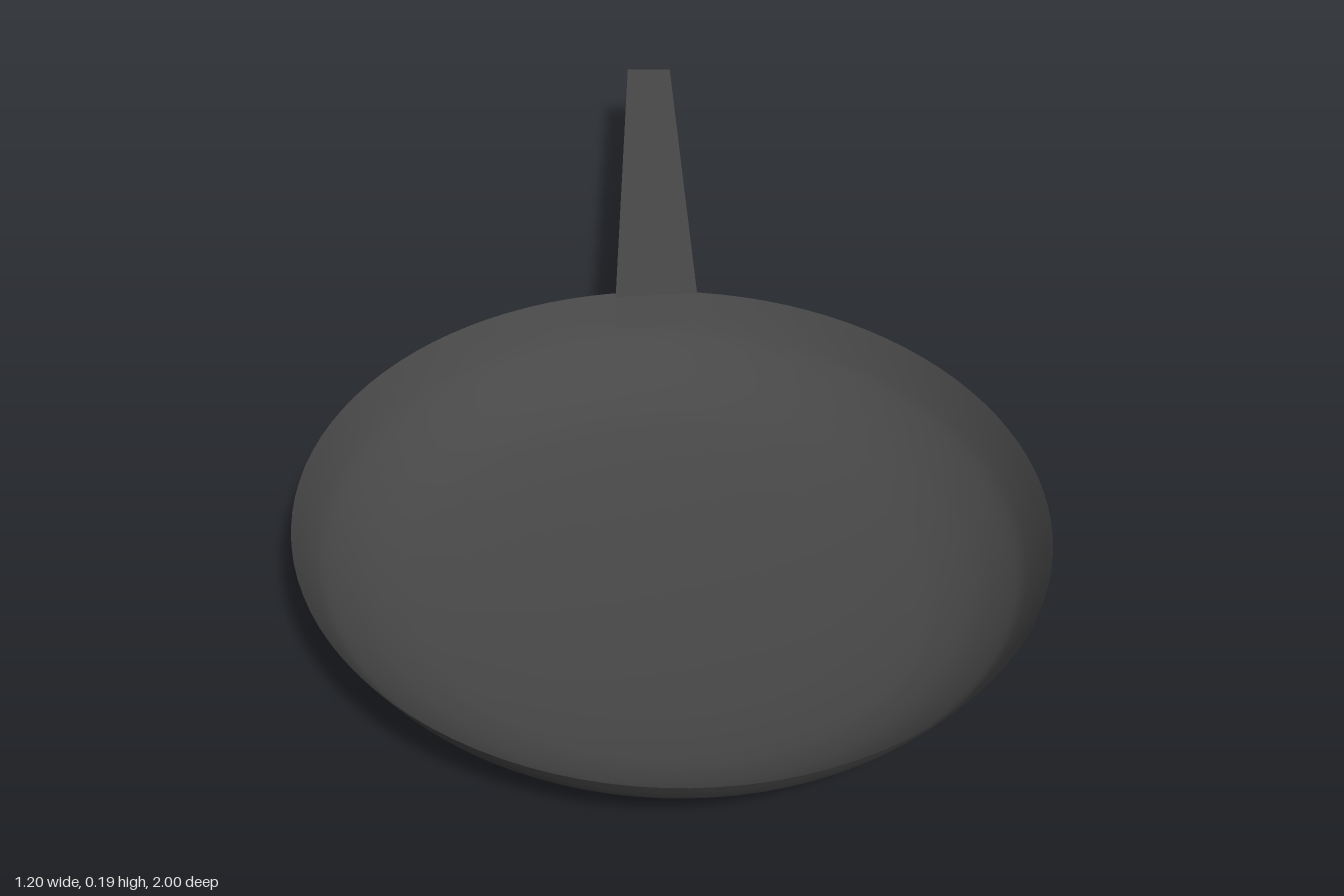
import * as THREE from 'three';

const material = new THREE.MeshStandardMaterial({ color: 0x484848, side: THREE.DoubleSide });

// Thin shallow bowl turned from a smooth half profile (radius, height)
function makeBowl() {
  const profile = new THREE.SplineCurve([
    [0, 0.003], [0.15, 0.005], [0.3, 0.015], [0.4, 0.03], [0.45, 0.044],
    [0.5, 0.068], [0.55, 0.106], [0.575, 0.138], [0.6, 0.18],
  ].map(([r, y]) => new THREE.Vector2(r, y)));
  const points = profile.getPoints(40);
  points[0].x = 0;
  const bowl = new THREE.Mesh(new THREE.LatheGeometry(points, 96), material);
  bowl.name = 'bowl';
  bowl.position.z = 0.4;
  return bowl;
}

// Tapered bar with slanted ends, shaped by moving the corners of a box
function makeHandle() {
  const geometry = new THREE.BoxGeometry(1, 1, 1);
  const p = geometry.attributes.position;
  for (let i = 0; i < p.count; i++) {
    const side = p.getX(i) * 2;
    const top = p.getY(i) > 0;
    const root = p.getZ(i) > 0;
    if (root) {
      p.setXYZ(i, 0.037 + side * 0.073, top ? 0.18 : 0.13, top ? -0.187 : -0.163);
    } else {
      p.setXYZ(i, 0.107 + side * 0.043, top ? 0.175 : 0.147, (top ? -0.997 : -0.977) + side * 0.003);
    }
  }
  geometry.computeVertexNormals();
  const handle = new THREE.Mesh(geometry, material);
  handle.name = 'handle';
  return handle;
}

export function createModel() {
  const pan = new THREE.Group();
  pan.name = 'fryingPan';
  pan.add(makeBowl(), makeHandle());
  // The pan rests with a slight lean to one side
  pan.rotation.z = -0.0167;
  const model = new THREE.Group();
  model.add(pan);
  return model;
}
